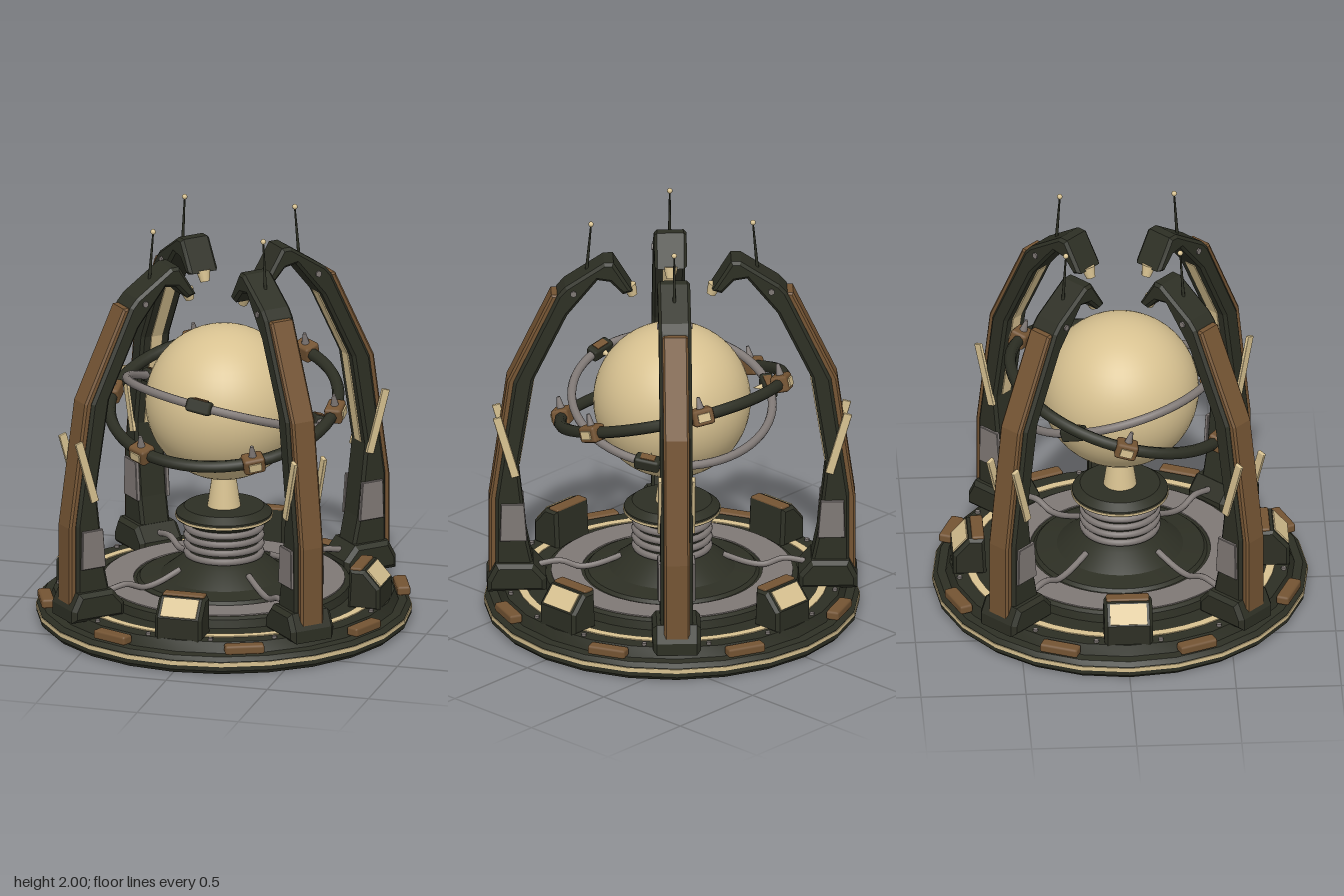
import * as THREE from 'three';
import { toCreasedNormals } from 'three/addons/utils/BufferGeometryUtils.js';
import { RoundedBoxGeometry } from 'three/addons/geometries/RoundedBoxGeometry.js';

const material = (name, color) => {
  const m = new THREE.MeshStandardMaterial({ color });
  m.name = name;
  return m;
};
const dark = material('dark olive metal', 0x2d2f24);
const brown = material('brown panel', 0x745433);
const cream = material('cream', 0xd8c291);
const gray = material('warm gray metal', 0x7f7875);

function add(parent, name, geometry, mat, x = 0, y = 0, z = 0) {
  const mesh = new THREE.Mesh(geometry, mat);
  mesh.name = name;
  mesh.position.set(x, y, z);
  parent.add(mesh);
  return mesh;
}

function group(parent, name) {
  const g = new THREE.Group();
  g.name = name;
  parent.add(g);
  return g;
}

const vectors = (pts) => pts.map(([x, y]) => new THREE.Vector2(x, y));
const lathe = (pts, sides = 48) => toCreasedNormals(new THREE.LatheGeometry(vectors(pts), sides), 0.5);
const box = (w, h, d, r = 0.012) => new RoundedBoxGeometry(w, h, d, 1, r);

// Side profile (radius, height) given a width across z, with bevelled edges
function slab(pts, width, bevel = 0.01) {
  const geo = new THREE.ExtrudeGeometry(new THREE.Shape(vectors(pts)), {
    depth: width - 2 * bevel, bevelEnabled: bevel > 0, bevelThickness: bevel,
    bevelSize: bevel, bevelOffset: -bevel, bevelSegments: 1,
  });
  return geo.translate(0, 0, bevel - width / 2);
}

// Slab that follows a polyline, thickened along x
const strip = (pts, thick, width, bevel) =>
  slab([...pts, ...pts.map(([x, y]) => [x - thick, y]).reverse()], width, bevel);

function buildBase(model) {
  const base = group(model, 'base');
  add(base, 'baseDisc', lathe([[0, 0], [0.87, 0], [0.89, 0.02], [0.89, 0.065], [0.87, 0.085],
    [0.83, 0.09], [0.81, 0.14], [0, 0.14]], 24), dark);
  add(base, 'rimStripe', lathe([[0.88, 0.042], [0.894, 0.042], [0.894, 0.062], [0.88, 0.062]], 24), cream);
  add(base, 'deckStripe', lathe([[0.74, 0.138], [0.74, 0.145], [0.70, 0.145], [0.70, 0.138]]), cream);
  add(base, 'innerTier', lathe([[0.61, 0.13], [0.6, 0.18], [0.585, 0.19], [0, 0.19]]), dark);
  add(base, 'tierRing', lathe([[0.575, 0.185], [0.575, 0.196], [0.43, 0.196], [0.43, 0.185]]), gray);

  for (let i = 0; i < 8; i++) {
    const arm = group(base, 'rimPad');
    arm.rotation.y = (i + 0.5) * Math.PI / 4;
    add(arm, 'pad', box(0.065, 0.045, 0.19), brown, 0.85, 0.12);
  }
  for (let i = 0; i < 16; i++) {
    const a = (i + 0.5) * Math.PI / 8;
    add(base, 'deckBolt', new THREE.CylinderGeometry(0.012, 0.012, 0.015, 6), gray,
      0.786 * Math.cos(a), 0.145, 0.786 * Math.sin(a));
  }
}

function buildPedestal(model) {
  const pedestal = group(model, 'pedestal');
  add(pedestal, 'column', lathe([[0.42, 0.185], [0.4, 0.205], [0.3, 0.22], [0.21, 0.29], [0.17, 0.31],
    [0.17, 0.47], [0.2, 0.49], [0.228, 0.5], [0.228, 0.525], [0.19, 0.555], [0, 0.555]]), dark);
  for (let i = 0; i < 4; i++) {
    const coil = add(pedestal, 'coil', new THREE.TorusGeometry(0.176, 0.017, 8, 40), gray, 0, 0.325 + i * 0.043);
    coil.rotation.x = Math.PI / 2;
  }
  add(pedestal, 'capStripe', lathe([[0.22, 0.505], [0.232, 0.505], [0.232, 0.515], [0.22, 0.515]]), cream);
  add(pedestal, 'neck', new THREE.CylinderGeometry(0.052, 0.08, 0.19, 24), cream, 0, 0.645);
  add(pedestal, 'globe', new THREE.SphereGeometry(0.375, 48, 32), cream, 0, 1.075);
}

// Control box with a sloped outer panel
function buildConsole(model, angle) {
  const c = group(model, 'console');
  c.rotation.y = angle;
  add(c, 'consoleBody', slab([[0.64, 0.13], [0.8, 0.13], [0.8, 0.24], [0.725, 0.325], [0.65, 0.325]], 0.23, 0.015), dark);
  const panel = add(c, 'consolePanel', new THREE.BoxGeometry(0.1, 0.009, 0.175), cream, 0.764, 0.284);
  panel.rotation.z = -0.85;
  add(c, 'consoleTop', box(0.06, 0.03, 0.205, 0.008), brown, 0.68, 0.32);
}

// Curved support, built along +x and turned into place
function buildLeg(model, angle) {
  const leg = group(model, 'leg');
  leg.rotation.y = angle;
  add(leg, 'legFrame', slab([[0.64, 0.16], [0.84, 0.16], [0.84, 0.6], [0.755, 1.2], [0.545, 1.65],
    [0.51, 1.69], [0.325, 1.813], [0.28, 1.813], [0.19, 1.665], [0.235, 1.65], [0.295, 1.715],
    [0.355, 1.725], [0.5, 1.545], [0.66, 1.21], [0.73, 0.76], [0.69, 0.4]], 0.155, 0.014), dark);
  add(leg, 'outerPanel', strip([[0.87, 0.21], [0.87, 0.59], [0.785, 1.2], [0.575, 1.645]], 0.045, 0.122, 0.01), brown);
  add(leg, 'innerStripe', strip([[0.74, 0.76], [0.67, 1.21], [0.51, 1.545]], 0.016, 0.06, 0), cream);
  add(leg, 'foot', slab([[0.6, 0.13], [0.88, 0.13], [0.88, 0.19], [0.84, 0.27], [0.66, 0.27], [0.6, 0.2]], 0.23, 0.02), dark);

  for (const s of [-1, 1]) {
    const fin = add(leg, 'sideStripe', box(0.04, 0.32, 0.018, 0.004), cream, 0.79, 0.87, s * 0.08);
    fin.rotation.z = -0.28;
    const plate = add(leg, 'sidePlate', slab([[0.69, 0.385], [0.82, 0.385], [0.815, 0.575], [0.705, 0.575]], 0.02, 0.003),
      gray, 0, 0, s * 0.08);
    plate.position.z = s * 0.08;
    const bolt = add(leg, 'sideBolt', new THREE.CylinderGeometry(0.016, 0.016, 0.016, 6), gray, 0.47, 1.66, s * 0.077);
    bolt.rotation.x = Math.PI / 2;
  }

  // Emitter under the tip, aimed at the globe
  const emitter = add(leg, 'emitter', new THREE.CylinderGeometry(0.034, 0.022, 0.055, 12), cream, 0.195, 1.645);
  emitter.rotation.z = -0.35;

  const antenna = add(leg, 'antenna', new THREE.CylinderGeometry(0.004, 0.008, 0.23, 8), dark, 0.395, 1.87);
  antenna.rotation.z = 0.09;
  add(leg, 'antennaTip', new THREE.SphereGeometry(0.013, 12, 8), cream, 0.385, 1.987);

  // Cable running to the pedestal
  const path = new THREE.CatmullRomCurve3([[0.63, 0.23], [0.53, 0.245], [0.44, 0.215], [0.36, 0.225], [0.24, 0.27]]
    .map(([x, y]) => new THREE.Vector3(x, y, 0)));
  add(leg, 'cable', new THREE.TubeGeometry(path, 20, 0.015, 8), gray);
}

function buildOrbits(model) {
  // Outer ring with six nodes
  const outer = group(model, 'outerRing');
  outer.position.y = 1.075;
  outer.rotation.x = 0.29;
  add(outer, 'outerBand', new THREE.TorusGeometry(0.545, 0.029, 8, 64).rotateX(Math.PI / 2), dark);
  for (let i = 0; i < 6; i++) {
    const node = group(outer, 'outerNode');
    node.rotation.y = i * Math.PI / 3;
    add(node, 'nodeBody', box(0.085, 0.08, 0.105, 0.014), brown, 0.55);
    add(node, 'nodePlate', new THREE.BoxGeometry(0.009, 0.04, 0.06), cream, 0.595);
    add(node, 'nodeSpike', new THREE.CylinderGeometry(0.008, 0.02, 0.06, 10), gray, 0.55, 0.065);
  }

  // Inner ring with three nodes
  const inner = group(model, 'innerRing');
  inner.position.y = 1.075;
  inner.quaternion.setFromUnitVectors(new THREE.Vector3(0, 1, 0), new THREE.Vector3(0.173, 0.95, -0.257).normalize());
  add(inner, 'innerBand', new THREE.TorusGeometry(0.478, 0.021, 10, 64).rotateX(Math.PI / 2), gray);
  for (let i = 0; i < 3; i++) {
    const node = group(inner, 'innerNode');
    node.rotation.y = -Math.PI / 2 + i * Math.PI * 2 / 3;
    add(node, 'nodeBody', box(0.065, 0.065, 0.125, 0.014), dark, 0.478);
    add(node, 'nodePlate', new THREE.BoxGeometry(0.04, 0.009, 0.07), brown, 0.478, 0.032);
    const tip = add(node, 'nodeTip', new THREE.ConeGeometry(0.016, 0.05, 10), cream, 0.425);
    tip.rotation.z = Math.PI / 2;
  }
}

export function createModel() {
  const model = new THREE.Group();
  model.name = 'globeMachine';
  buildBase(model);
  buildPedestal(model);
  for (let i = 0; i < 4; i++) {
    buildConsole(model, i * Math.PI / 2);
    buildLeg(model, (i + 0.5) * Math.PI / 2);
  }
  buildOrbits(model);
  return model;
}
